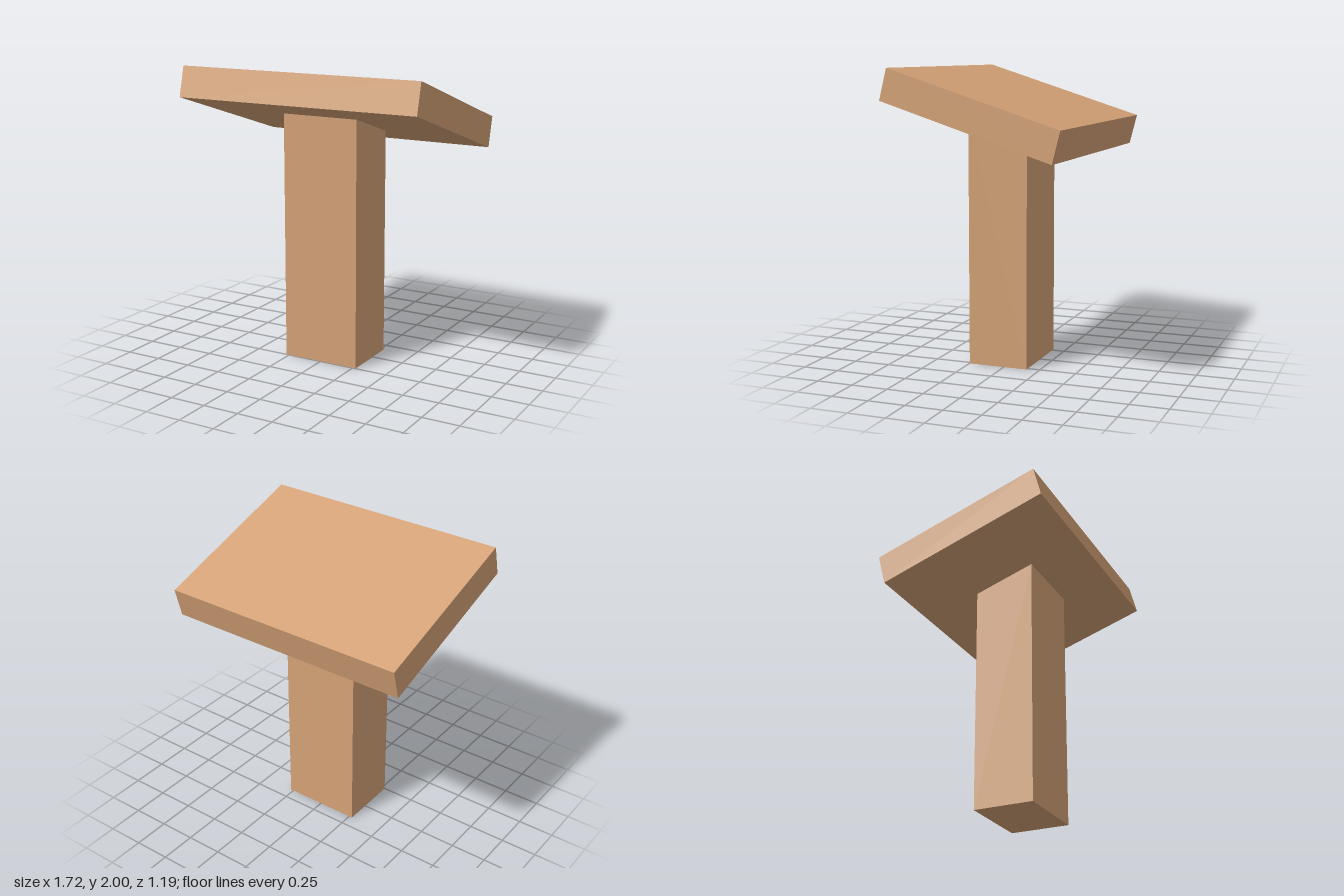
import * as THREE from 'three';

// Extrudes a side profile of [z, y] points across x, centred on x = 0.
function sideProfile(points, width) {
  const shape = new THREE.Shape(points.map(([z, y]) => new THREE.Vector2(z, y)));
  const geometry = new THREE.ExtrudeGeometry(shape, { depth: width, bevelEnabled: false });
  geometry.translate(0, 0, -width / 2);
  geometry.rotateY(-Math.PI / 2);
  return geometry;
}

export function createModel() {
  const group = new THREE.Group();
  group.name = 'lectern';

  const wood = new THREE.MeshStandardMaterial({ color: 0xd4a276 });
  wood.name = 'light wood';

  const addPart = (name, points, width) => {
    const mesh = new THREE.Mesh(sideProfile(points, width), wood);
    mesh.name = name;
    group.add(mesh);
  };

  // Upright post, its top cut to the slope of the desk
  addPart('post', [[-0.164, 0], [0.248, 0], [0.248, 1.688], [-0.164, 1.557]], 0.546);

  // Thick sloping desk, high at the front
  addPart('slopingTop', [[-0.541, 1.438], [0.593, 1.797], [0.541, 2], [-0.593, 1.642]], 1.724);

  return group;
}
